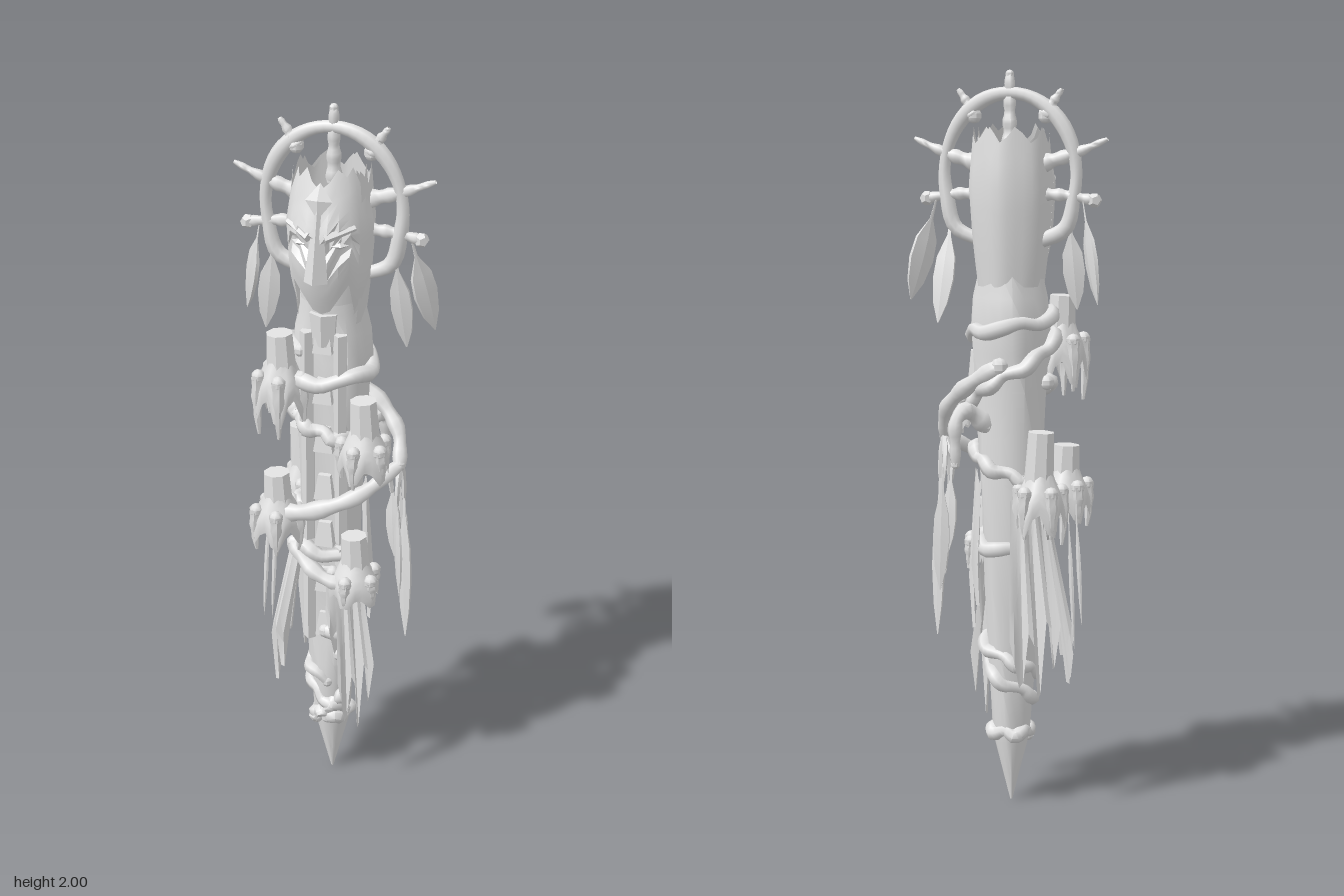
import * as THREE from 'three';
import { toCreasedNormals } from 'three/addons/utils/BufferGeometryUtils.js';

const V = (x, y, z) => new THREE.Vector3(x, y, z);
const carved = new THREE.MeshStandardMaterial({ color: 0xe2e2e2, side: THREE.DoubleSide });
carved.name = 'carved grey';

// Linear interpolation through [key, value] stops
function ramp(stops, t) {
  for (let i = 1; i < stops.length; i++) {
    const [a, va] = stops[i - 1], [b, vb] = stops[i];
    if (t <= b) return va + (vb - va) * Math.max(0, (t - a) / (b - a));
  }
  return stops[stops.length - 1][1];
}

// Radius of the trunk at each height
const trunkStops = [[0, 0.003], [0.08, 0.022], [0.17, 0.044], [0.21, 0.05], [0.3, 0.056], [0.38, 0.063], [0.45, 0.067],
  [0.6, 0.075], [0.75, 0.08], [0.9, 0.085], [1.02, 0.088], [1.15, 0.092], [1.25, 0.098], [1.32, 0.104], [1.4, 0.097],
  [1.46, 0.084], [1.6, 0.082]];
const trunkR = (y) => ramp(trunkStops, y);

export function createModel() {
  const root = new THREE.Group();
  root.name = 'totemStaff';

  function add(name, geo, parent = root, crease = 0.75) {
    const mesh = new THREE.Mesh(toCreasedNormals(geo, crease), carved);
    mesh.name = name;
    parent.add(mesh);
    return mesh;
  }

  // Round branch along a curve, with a radius that changes along it
  function branch(name, pts, r0, r1, parent = root, segs = 16, sides = 7) {
    const curve = new THREE.CatmullRomCurve3(pts);
    const geo = new THREE.TubeGeometry(curve, segs, 1, sides);
    const p = geo.attributes.position, v = V();
    for (let i = 0; i < p.count; i++) {
      const t = Math.floor(i / (sides + 1)) / segs;
      const c = curve.getPointAt(t);
      const r = (r0 + (r1 - r0) * t) * (1 + 0.14 * Math.sin(t * 23));
      v.fromBufferAttribute(p, i).sub(c).multiplyScalar(r).add(c);
      p.setXYZ(i, v.x, v.y, v.z);
    }
    add(name, geo, parent, 1);
    for (const [t, r] of [[0, r0], [1, r1]]) {
      if (r < 0.007) continue;
      add(name + 'End', new THREE.SphereGeometry(r, 7, 5), parent, 1).position.copy(curve.getPointAt(t));
    }
  }

  // Bent sheet: rule maps (u, v) in 0..1, v running down, to a point
  function sheet(name, nu, nv, rule, parent = root, crease = 0.6) {
    const geo = new THREE.PlaneGeometry(1, 1, nu, nv), p = geo.attributes.position;
    for (let i = 0; i < p.count; i++) {
      const q = rule(p.getX(i) + 0.5, 0.5 - p.getY(i));
      p.setXYZ(i, q.x, q.y, q.z);
    }
    add(name, geo, parent, crease);
  }

  // Trunk with worn bark and a flat channel down the front
  const body = new THREE.LatheGeometry(trunkStops.map(([y, r]) => new THREE.Vector2(r, y)), 18);
  const bp = body.attributes.position;
  for (let i = 0; i < bp.count; i++) {
    const y = bp.getY(i), x = bp.getX(i);
    let z = bp.getZ(i);
    const a = Math.atan2(x, z), k = 1 + 0.05 * Math.sin(a * 4 + y * 5) + 0.03 * Math.cos(a * 7 + y * 9);
    if (y > 0.4 && y < 1.45 && z > 0) z = Math.min(z, trunkR(y) * 0.74);
    bp.setXYZ(i, x * k, y, z * k);
  }
  add('trunk', body);

  // Raised slats beside the channel and the small carved blocks between them
  for (const s of [-1, 1]) {
    for (const [y, h] of [[0.62, 0.3], [0.95, 0.32], [1.27, 0.28]]) {
      const slat = add('frontSlat', new THREE.CylinderGeometry(0.026, 0.024, h, 5));
      slat.scale.x = 0.75;
      slat.position.set(s * 0.046, y, trunkR(y) * 0.74);
    }
  }
  for (let i = 0; i < 7; i++) {
    const y = 0.52 + i * 0.145;
    const block = add('carvedBlock', new THREE.CylinderGeometry(0.024, 0.038, 0.07, 4));
    block.rotation.y = Math.PI / 4;
    block.position.set(0, y, trunkR(y) * 0.7);
  }
  add('neckPlate', new THREE.CylinderGeometry(0.042, 0.034, 0.09, 6)).position.set(0, 1.42, 0.065);

  // Hollow back of the head, with a broken rim
  const shell = (k, outer) => (u, v) => {
    const h = outer ? 1 - v : v;
    const a = (u - 0.5) * 4.2, y = 1.43 + h * (0.4 + 0.022 * Math.cos(u * 31));
    const r = ramp([[1.43, 0.088], [1.55, 0.102], [1.7, 0.112], [1.86, 0.098]], y) * k * (1 + 0.03 * Math.cos(a * 6));
    return V(-r * Math.sin(a), y, -r * Math.cos(a));
  };
  sheet('headShell', 20, 6, shell(1, true));
  sheet('headHollow', 20, 6, shell(0.87, false));
  add('headCore', new THREE.CylinderGeometry(0.088, 0.082, 0.26, 12)).position.set(0, 1.62, 0.008);

  // Face mask: ridged plate with brow, sunken eyes, cheeks and ragged ends
  const topEdge = [1.74, 1.78, 1.85, 1.83, 1.86, 1.83, 1.81, 1.83, 1.86, 1.84, 1.86, 1.79, 1.74];
  const lowEdge = [1.55, 1.5, 1.48, 1.56, 1.53, 1.48, 1.47, 1.48, 1.52, 1.56, 1.47, 1.5, 1.55];
  sheet('faceMask', 12, 14, (u, v) => {
    const c = Math.round(u * 12), y = topEdge[c] + (lowEdge[c] - topEdge[c]) * v;
    const a = (u - 0.5) * 3.1, off = Math.abs(c - 6);
    const w = ramp([[1.46, 0.085], [1.55, 0.105], [1.7, 0.115], [1.8, 0.1], [1.86, 0.082]], y);
    let d = ramp([[1.46, 0.085], [1.53, 0.115], [1.6, 0.137], [1.68, 0.135], [1.76, 0.118], [1.86, 0.085]], y);
    if (off >= 1 && off <= 3 && y > 1.64 && y < 1.695) d -= 0.02;
    if (off >= 1 && off <= 3 && y >= 1.695 && y < 1.74) d += 0.008;
    return V(w * Math.sin(a), y, 0.008 + d * Math.cos(a));
  });
  const nose = add('nose', new THREE.CylinderGeometry(0.01, 0.032, 0.19, 4));
  nose.position.set(0, 1.67, 0.134);
  nose.rotation.x = -0.13;
  const gem = add('browGem', new THREE.OctahedronGeometry(0.036));
  gem.scale.set(1, 1.3, 0.45);
  gem.position.set(0, 1.785, 0.117);
  gem.rotation.x = -0.3;
  for (const s of [-1, 1]) {
    const brow = add('brow', new THREE.CylinderGeometry(0.008, 0.014, 0.085, 5));
    brow.position.set(s * 0.055, 1.705, 0.116);
    brow.rotation.set(0, s * 0.55, -s * 1.3);
    const eye = add('eye', new THREE.OctahedronGeometry(0.022));
    eye.scale.set(1.1, 0.4, 0.5);
    eye.position.set(s * 0.055, 1.67, 0.115);
    eye.rotation.y = s * 0.5;
  }

  // Hoop of thorns behind the head
  const hoop = [V(-0.085, 1.55, -0.012), V(-0.155, 1.585, -0.012)];
  for (let i = 0; i <= 12; i++) {
    const a = (i / 12 - 0.5) * 3.7;
    hoop.push(V(0.185 * Math.sin(a), 1.725 + 0.215 * Math.cos(a), -0.012));
  }
  hoop.push(V(0.155, 1.585, -0.012), V(0.085, 1.55, -0.012));
  branch('hoop', hoop, 0.019, 0.019, root, 48, 8);
  branch('topThorn', [V(0, 1.8, -0.012), V(0, 1.93, -0.012), V(0, 1.989, -0.012)], 0.021, 0.012);
  for (const s of [-1, 1]) {
    const P = (x, y, z = -0.012) => V(s * x, y, z);
    branch('upperThorn', [P(0.1, 1.88), P(0.12, 1.915), P(0.145, 1.95)], 0.021, 0.006);
    branch('sideThorn', [P(0.09, 1.755), P(0.18, 1.782), P(0.27, 1.82)], 0.024, 0.006);
    branch('peg', [P(0.09, 1.675), P(0.16, 1.672), P(0.235, 1.66)], 0.018, 0.013);
    add('pegKnob', new THREE.DodecahedronGeometry(0.02)).position.set(s * 0.235, 1.66, -0.012);
  }

  // Hanging feathers: flat diamond-section leaves on cords
  function feather(name, from, to, width, turn) {
    const g = new THREE.Group();
    g.name = name;
    const dir = to.clone().sub(from), len = dir.length();
    const blade = add('blade', new THREE.LatheGeometry(
      [[0.003, 0], [0.006, 0.2], [0.46, 0.4], [0.52, 0.6], [0.36, 0.82], [0.002, 1]]
        .map(([r, t]) => new THREE.Vector2(r > 0.01 ? r * width : r, t * len)), 6), g);
    blade.scale.z = 0.25;
    blade.rotation.y = turn;
    g.position.copy(from);
    g.quaternion.setFromUnitVectors(V(0, 1, 0), dir.normalize());
    root.add(g);
  }
  for (const s of [-1, 1]) {
    feather('outerFeather', V(s * 0.205, 1.66, -0.02), V(s * 0.262, 1.39, -0.07), 0.08, s * 0.5);
    feather('innerFeather', V(s * 0.165, 1.62, -0.01), V(s * 0.185, s < 0 ? 1.37 : 1.33, s < 0 ? 0 : -0.07), 0.065, -s * 0.6);
  }

  // Candle on a ledge, with melted wax skirt and drips
  function candle(x, y, z, height, drip) {
    const g = new THREE.Group();
    g.name = 'candle';
    g.position.set(x, y, z);
    const stick = add('stick', new THREE.CylinderGeometry(0.036, 0.042, height, 8), g);
    stick.position.y = height / 2;
    stick.rotation.z = 0.05;
    sheet('waxSkirt', 20, 5, (u, v) => {
      const a = u * Math.PI * 2, k = 1 + 0.1 * Math.cos(a * 5 + x * 9) * v;
      const r = ramp([[0, 0.035], [0.2, 0.044], [0.5, 0.062], [0.75, 0.068], [1, 0.064]], v) * k;
      const hang = 0.1 + drip * 0.3 * (1 + Math.cos(a * 5 + x * 9));
      return V(r * Math.sin(a), 0.04 - v * hang, r * Math.cos(a));
    }, g, 1);
    for (let i = 0; i < 5; i++) {
      const a = (i * Math.PI * 2 - x * 9) / 5, l = drip * (0.6 + 0.4 * Math.abs(Math.sin(i * 2.3 + x * 9)));
      const c = Math.sin(a) * 0.06, d = Math.cos(a) * 0.06;
      branch('drip', [V(c, -0.01, d), V(c * 1.08, -0.04 - l * 0.4, d * 1.08), V(c, -0.04 - l, d)], 0.02, 0.005, g, 6, 6);
    }
    branch('ledge', [V(0, -0.03, 0), V(-x * 0.45, -0.05, -z * 0.45), V(-x * 0.8, -0.09, -z * 0.8)], 0.045, 0.03, g, 8);
    root.add(g);
  }
  candle(-0.115, 1.29, 0.09, 0.11, 0.14);
  candle(0.118, 1.12, 0.1, 0.12, 0.08);
  candle(-0.127, 0.89, 0.092, 0.1, 0.09);
  candle(0.092, 0.72, 0.095, 0.11, 0.05);
  candle(-0.112, 0.9, -0.095, 0.15, 0.12);

  // Torn cloth hanging round the trunk between two angles (0 = front)
  function cloth(name, a0, a1, top, bottom, r0, r1) {
    sheet(name, 12, 6, (u, v) => {
      const a = a0 + (a1 - a0) * u, c = Math.round(u * 12);
      const low = bottom + [0.15, 0.11, 0.03, 0.02, 0.15, 0.14, 0.01, 0, 0.18, 0.16, 0.07, 0.08, 0.18][c];
      const y = top - 0.02 * Math.sin(c * 1.3) + (low - top) * v;
      const r = r0 + (r1 - r0) * v + 0.008 * Math.sin(c * 1.6) * v;
      return V(r * Math.sin(a), y, r * Math.cos(a));
    }, root, 0.7);
  }
  cloth('rightCloth', -2.85, -1.9, 0.86, 0.34, 0.1, 0.165);
  cloth('frontRightCloth', -1.5, -0.65, 0.8, 0.33, 0.1, 0.165);
  cloth('frontLeftCloth', 0.4, 1.25, 0.72, 0.22, 0.088, 0.14);
  cloth('lowerFrontCloth', 0.1, 1.6, 0.68, 0.42, 0.086, 0.096);
  cloth('leftCloth', 1.5, 2.5, 0.92, 0.5, 0.098, 0.108);

  // Vines winding round the trunk
  function vine(name, a0, a1, y0, y1, r, gap = 0.006) {
    const pts = [];
    for (let i = 0; i <= 14; i++) {
      const t = i / 14, a = a0 + (a1 - a0) * t, y = y0 + (y1 - y0) * t;
      const d = trunkR(y) + gap + 0.006 * Math.sin(i * 1.7);
      pts.push(V(d * Math.sin(a), y + 0.008 * Math.sin(i * 2.1), d * Math.cos(a)));
    }
    branch(name, pts, r, r * 0.85, root, 44, 7);
  }
  vine('upperVine', -1, 5.6, 1.26, 1.36, 0.022);
  vine('crossingVine', -1.1, -5, 1.3, 1.08, 0.021, 0.01);
  vine('middleVine', -1.5, 1.6, 1.17, 1.08, 0.021);
  vine('waistVine', 1.5, 5.4, 0.99, 0.86, 0.02);
  vine('beltVine', -1, 5.3, 0.76, 0.7, 0.021);
  vine('lowerVine', 0, 6.3, 0.5, 0.33, 0.02, 0);
  vine('rootVine', 0.6, 7.5, 0.42, 0.22, 0.02, 0);
  vine('rootKnot', 0, 6.28, 0.2, 0.2, 0.02, -0.002);
  vine('rootCross', -0.9, 0.9, 0.18, 0.29, 0.017, 0.003);
  branch('frontBough', [V(-0.13, 0.87, 0.1), V(-0.02, 0.9, 0.12), V(0.1, 0.95, 0.09), V(0.19, 1.015, 0)], 0.027, 0.018);
  branch('sideBough', [V(0.19, 1.015, 0), V(0.17, 1.09, -0.05), V(0.1, 1.16, -0.09), V(0, 1.22, -0.1)], 0.018, 0.025);
  branch('lowBough', [V(-0.09, 0.76, 0.06), V(-0.02, 0.71, 0.11), V(0.06, 0.69, 0.12), V(0.14, 0.72, 0.07)], 0.024, 0.019);
  branch('backHook', [V(0.05, 1.06, -0.06), V(0.09, 1.1, -0.11), V(0.105, 1.08, -0.145), V(0.105, 0.96, -0.155)], 0.028, 0.012);

  // Long feathers hung from the boughs
  for (const [x, z, low] of [[0.2, 0.025, 0.62], [0.205, -0.03, 0.46], [0.175, -0.09, 0.6], [0.165, -0.05, 0.7]]) {
    branch('cord', [V(0.19, 1.02, -0.01), V(x - 0.01, 0.96, z * 0.8), V(x - 0.01, 0.9, z)], 0.009, 0.006, root, 6, 5);
    feather('longFeather', V(x - 0.01, 0.94, z), V(x, low, z), 0.05, 0.7 + z * 9);
  }
  for (const [z, low] of [[0.04, 0.5], [-0.03, 0.45]])
    feather('rightFeather', V(-0.17, 0.86, z), V(-0.19, low, z), 0.045, 1.1);

  return root;
}
